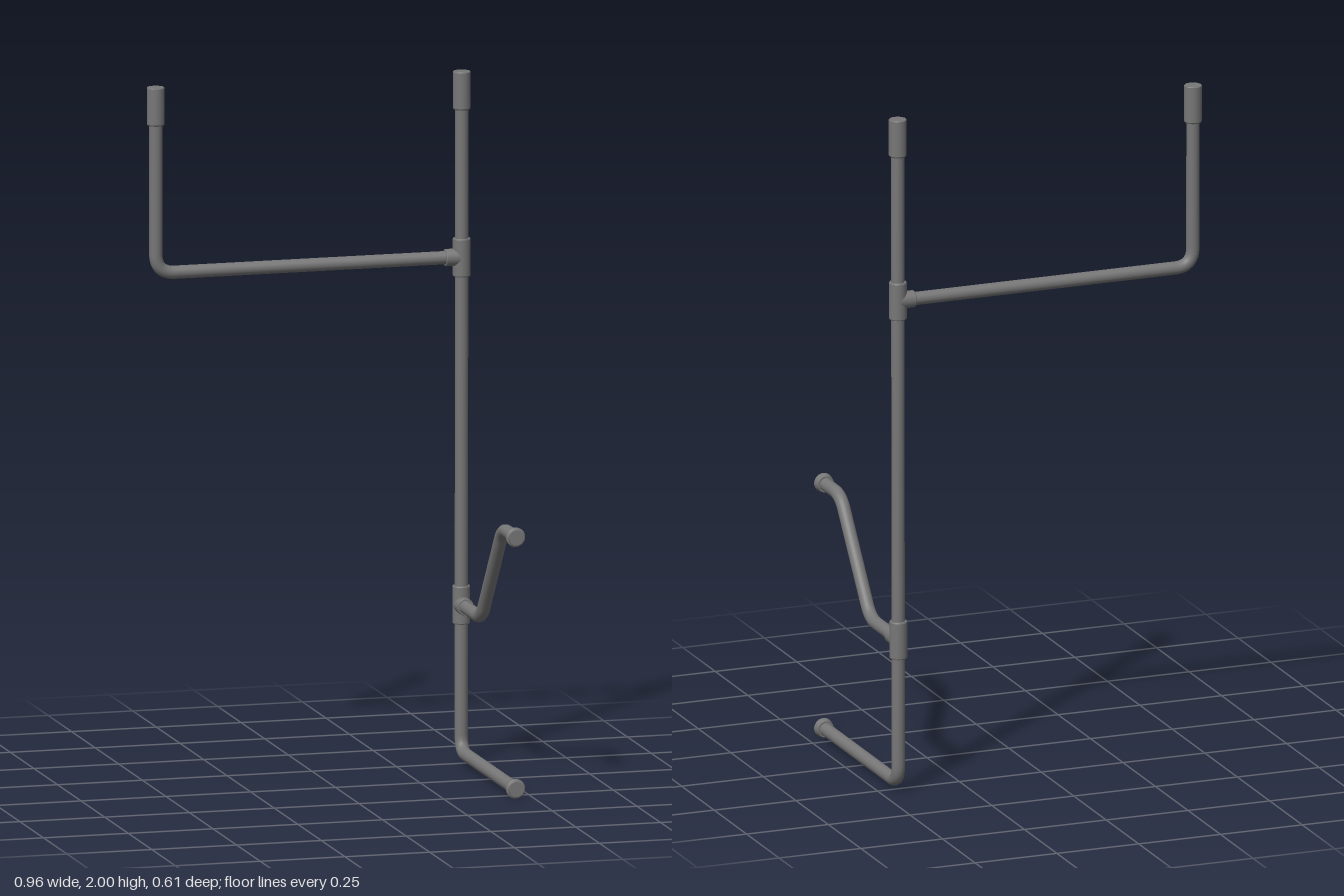
import * as THREE from 'three';

const material = new THREE.MeshStandardMaterial({ color: 0x777777 });
const PIPE = 0.019;
const V = (x, y, z) => new THREE.Vector3(x, y, z);

export function createModel() {
  const group = new THREE.Group();

  // Pipe through corner points, each inner corner rounded by the given setback
  const pipe = (name, points, setback) => {
    const path = new THREE.CurvePath();
    let from = points[0];
    for (let i = 1; i < points.length - 1; i++) {
      const p = points[i];
      const toward = (q) => p.clone().add(q.clone().sub(p).setLength(setback));
      const a = toward(points[i - 1]);
      const b = toward(points[i + 1]);
      path.add(new THREE.LineCurve3(from, a));
      path.add(new THREE.QuadraticBezierCurve3(a, p, b));
      from = b;
    }
    path.add(new THREE.LineCurve3(from, points[points.length - 1]));
    const mesh = new THREE.Mesh(new THREE.TubeGeometry(path, 200, PIPE, 24), material);
    mesh.name = name;
    group.add(mesh);
  };

  // Turned fitting: [radius, distance] profile along a direction, hard edges kept by separate bands
  const fitting = (name, origin, direction, profile) => {
    const part = new THREE.Group();
    part.name = name;
    for (let i = 0; i < profile.length - 1; i++) {
      const band = profile.slice(i, i + 2).map(([r, d]) => new THREE.Vector2(r, d));
      part.add(new THREE.Mesh(new THREE.LatheGeometry(band, 32), material));
    }
    part.position.copy(origin);
    part.quaternion.setFromUnitVectors(V(0, 1, 0), direction);
    group.add(part);
  };

  const up = V(0, 1, 0);
  const front = V(0, 0, 1);
  const X = 0.449;      // riser
  const LX = -0.453;    // far upright
  const armY = 1.462;
  const outletY = 0.456;
  const hookY = 0.758;
  const footY = 0.03;

  // Pipes
  pipe('riserPipe', [V(X, 1.95, -0.275), V(X, outletY, -0.28), V(X, footY, -0.281), V(X, footY, 0.29)], 0.05);
  pipe('crossPipe', [V(X, armY, -0.279), V(LX, armY, -0.276), V(LX, 1.95, -0.277)], 0.055);
  pipe('offsetPipe', [V(X, outletY, -0.28), V(X, outletY, -0.068), V(X, hookY, 0.163), V(X, hookY, 0.29)], 0.045);

  // Sleeves on the two upper ends
  const sleeve = [[0, 0], [0.023, 0], [0.0255, 0.004], [0.0255, 0.108], [0.024, 0.11], [0, 0.11]];
  fitting('rightSleeve', V(LX, 1.89, -0.277), up, sleeve);
  fitting('leftSleeve', V(X, 1.89, -0.276), up, sleeve);

  // Tee joints: a body around the riser and a short branch collar
  const body = [[0, -0.055], [0.024, -0.055], [0.0255, -0.052], [0.0255, 0.052], [0.024, 0.055], [0, 0.055]];
  const branch = [[0.0255, 0], [0.0245, 0.047], [0.023, 0.049], [0, 0.049]];
  fitting('upperTeeBody', V(X, armY, -0.277), up, body);
  fitting('upperTeeBranch', V(X, armY, -0.278), V(-1, 0, 0), branch);
  fitting('lowerTeeBody', V(X, outletY, -0.281), up, body);
  fitting('lowerTeeBranch', V(X, outletY, -0.281), front, branch);

  // Flanged caps on the two front ends
  const cap = [[PIPE, -0.032], [0.024, -0.032], [0.028, -0.014], [0.028, -0.01], [0.022, -0.007], [0.022, 0], [0, 0]];
  fitting('upperEndCap', V(X, hookY, 0.307), front, cap);
  fitting('lowerEndCap', V(X, footY, 0.307), front, cap);

  return group;
}
